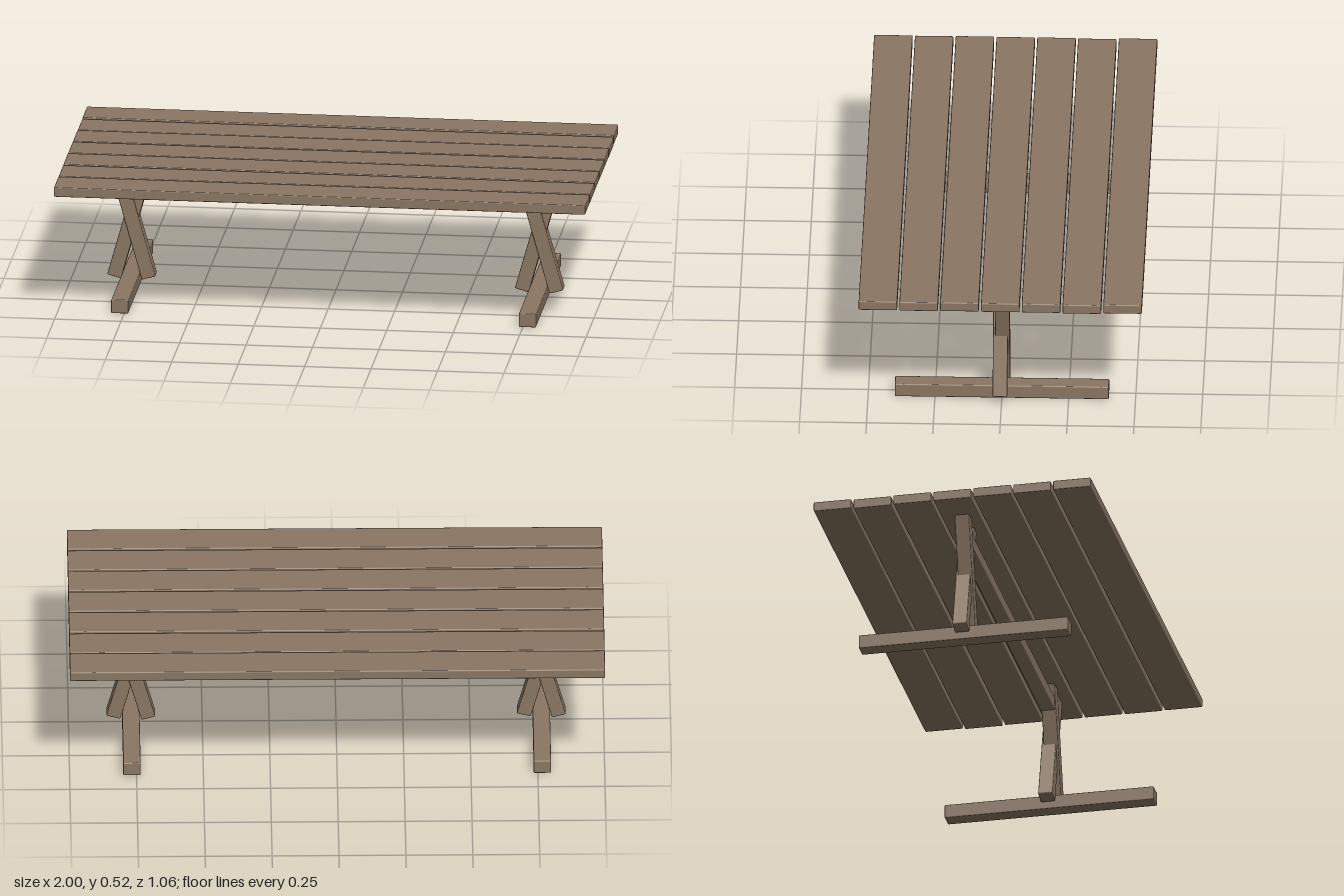
import * as THREE from 'three';
import { RoundedBoxGeometry } from 'three/addons/geometries/RoundedBoxGeometry.js';

export function createModel() {
  const table = new THREE.Group();
  table.name = 'table';
  const wood = new THREE.MeshStandardMaterial({ color: 0x8a7662 });
  wood.name = 'weathered wood';

  // A sawn timber with slightly softened edges
  function beam(name, size, position, tilt = 0) {
    const mesh = new THREE.Mesh(new RoundedBoxGeometry(...size, 1, 0.004), wood);
    mesh.name = name;
    mesh.position.set(...position);
    mesh.rotation.z = tilt;
    table.add(mesh);
  }

  // Seven tabletop planks, laid a little unevenly
  const heights = [0.504, 0.503, 0.504, 0.503, 0.503, 0.501, 0.504];
  heights.forEach((y, i) => {
    beam('plank' + (i + 1), [2, 0.037, 0.144], [0, y, (3 - i) * 0.1525]);
  });

  // Two trestles: a floor runner and a pair of crossed legs each
  for (const side of [-1, 1]) {
    const x = side * 0.767;
    const label = side > 0 ? 'left' : 'right';
    beam(label + 'Runner', [0.065, 0.053, 0.8], [x, 0.0265, 0]);
    beam(label + 'FrontLeg', [0.054, 0.488, 0.055], [x, 0.265, 0.0055], 0.272);
    beam(label + 'BackLeg', [0.054, 0.488, 0.055], [x, 0.265, -0.0025], -0.272);
  }

  // Stretcher rail joining the trestles
  beam('stretcherRail', [1.53, 0.05, 0.055], [-0.002, 0.415, 0.002]);

  return table;
}
